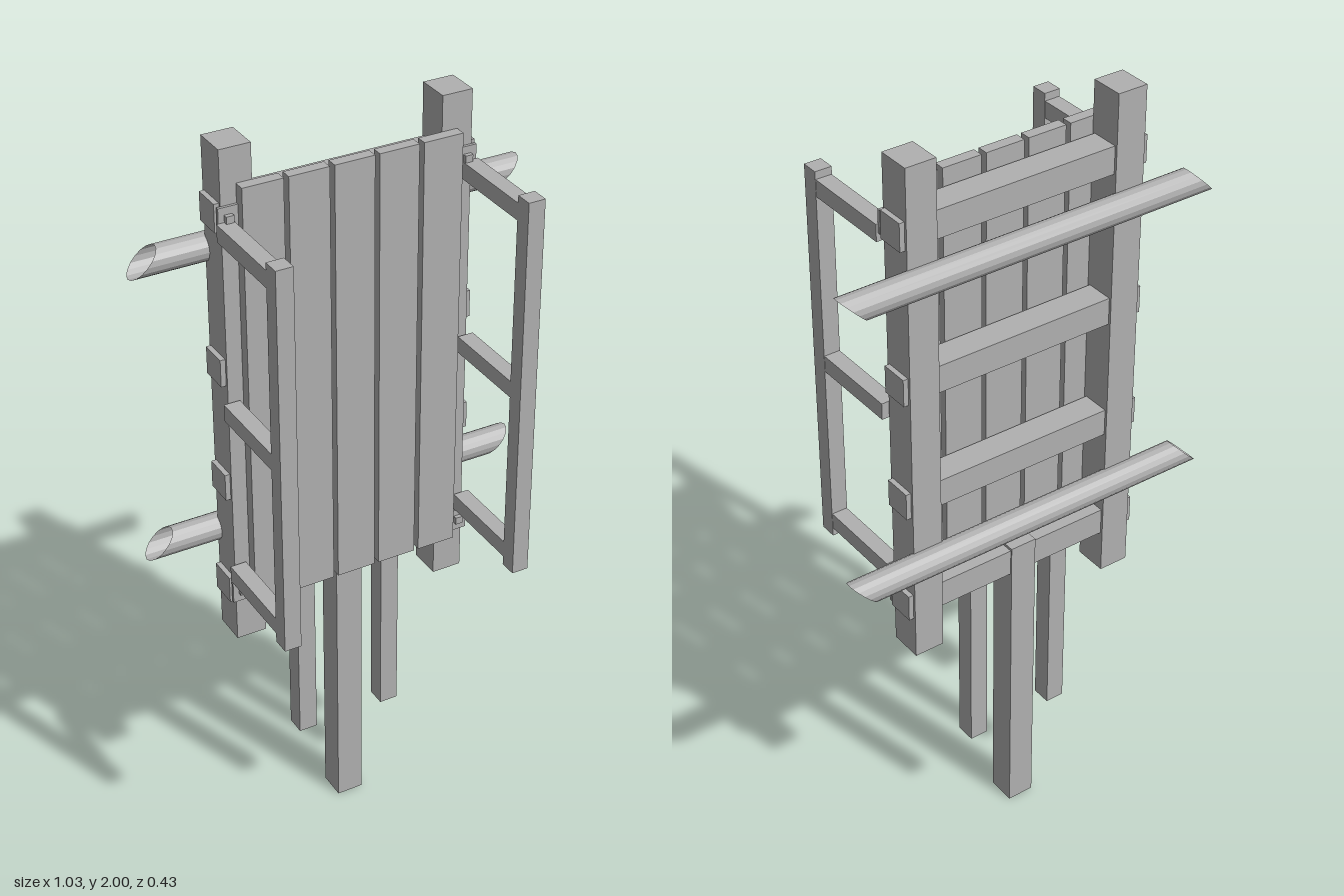
import * as THREE from 'three';

export function createModel() {
  const group = new THREE.Group();
  const wood = new THREE.MeshStandardMaterial({ color: 0xb0b0b0 });
  wood.name = 'grey wood';
  wood.flatShading = true;
  const tubeMaterial = wood.clone();
  tubeMaterial.name = 'grey tube';
  tubeMaterial.side = THREE.DoubleSide;

  // Box given by its extents on each axis
  function box(name, [x0, x1], [y0, y1], [z0, z1]) {
    const mesh = new THREE.Mesh(new THREE.BoxGeometry(x1 - x0, y1 - y0, z1 - z0), wood);
    mesh.position.set((x0 + x1) / 2, (y0 + y1) / 2, (z0 + z1) / 2);
    mesh.name = name;
    group.add(mesh);
  }
  // The same box on the left and the right
  function pair(name, [x0, x1], y, z) {
    box(name + 'Left', [x0, x1], y, z);
    box(name + 'Right', [-x1, -x0], y, z);
  }

  // Frame: two posts joined by rungs whose ends pass through
  pair('post', [0.245, 0.325], [0.655, 2], [-0.168, -0.08]);
  for (const y of [0.805, 1.11, 1.43, 1.832]) {
    box('rung', [-0.338, 0.338], [y - 0.036, y + 0.036], [-0.161, -0.087]);
  }

  // Front planks
  for (let i = -2; i <= 2; i++) {
    const x = i * 0.1165;
    box('plank', [x - 0.052, x + 0.052], [0.77, 1.91], [-0.08, -0.051]);
  }

  // Legs
  box('centreLeg', [-0.036, 0.036], [0, 0.848], [-0.165, -0.09]);
  pair('sideLeg', [0.097, 0.147], [0.265, 0.8], [-0.147, -0.095]);

  // Side rails with three arms each
  pair('railBar', [0.297, 0.341], [0.82, 1.845], [0.168, 0.213]);
  for (const y of [0.865, 1.332, 1.803]) {
    pair('railArm', [0.298, 0.34], [y - 0.022, y + 0.022], [-0.073, 0.17]);
  }

  // Fixing plates and bolts at the top and bottom arms
  for (const [y, boltY] of [[0.805, 0.808], [1.832, 1.833]]) {
    pair('fixingPlate', [0.243, 0.335], [y - 0.03, y + 0.03], [-0.081, -0.073]);
    pair('bolt', [0.3, 0.32], [boltY - 0.01, boltY + 0.01], [-0.074, -0.062]);
  }

  // Open carrying tubes with slanted ends
  for (const y of [0.939, 1.717]) {
    const tube = new THREE.CylinderGeometry(0.035, 0.035, 0.96, 16, 1, true);
    tube.rotateZ(Math.PI / 2);
    const p = tube.attributes.position;
    for (let i = 0; i < p.count; i++) p.setX(i, p.getX(i) + p.getY(i));
    tube.computeVertexNormals();
    const mesh = new THREE.Mesh(tube, tubeMaterial);
    mesh.position.set(0, y, -0.18);
    mesh.name = 'carryingTube';
    group.add(mesh);
  }
  return group;
}
